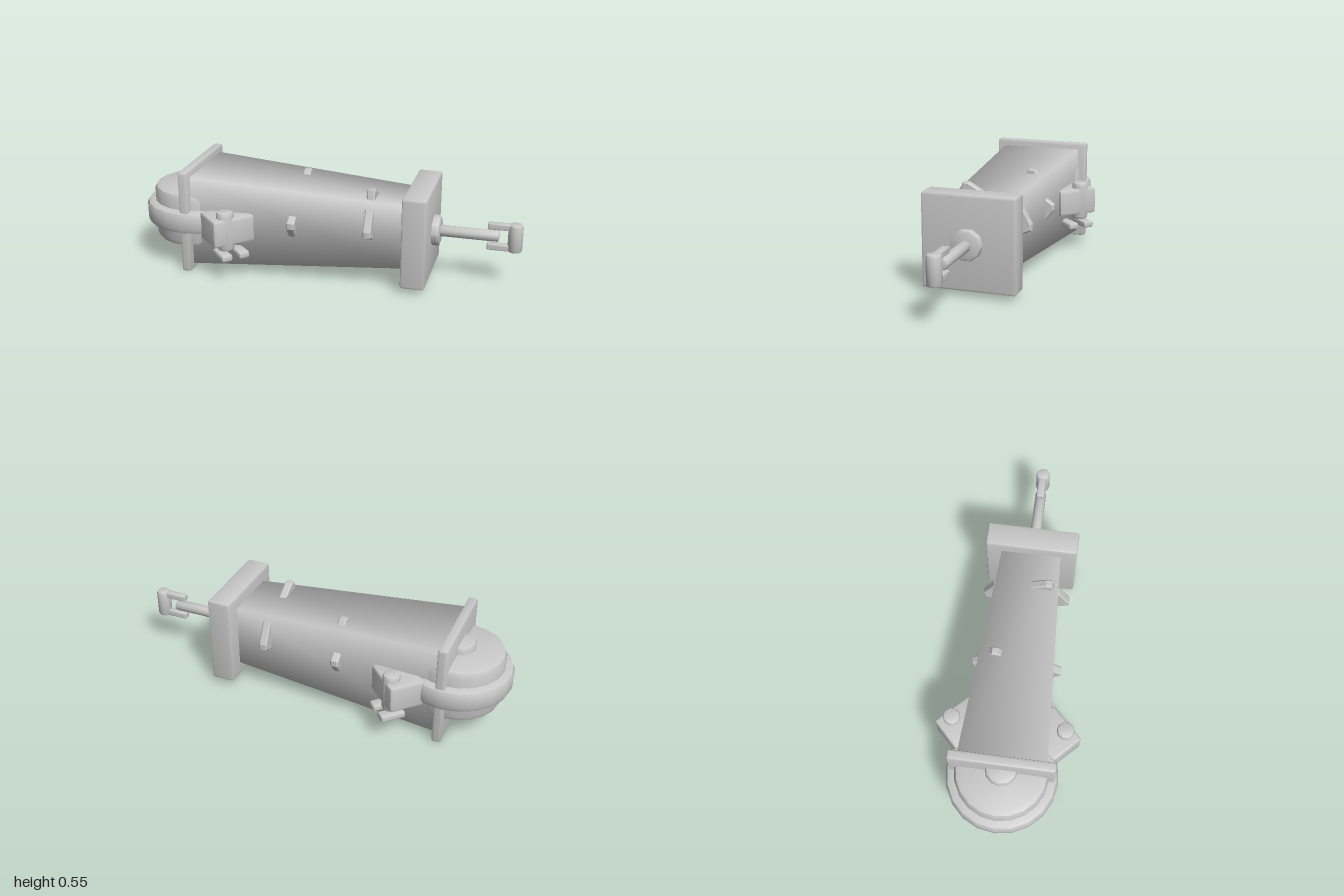
import * as THREE from 'three';
import { RoundedBoxGeometry } from 'three/addons/geometries/RoundedBoxGeometry.js';
import { toCreasedNormals } from 'three/addons/utils/BufferGeometryUtils.js';

const V = (x, y, z) => new THREE.Vector3(x, y, z);

export function createModel() {
  const model = new THREE.Group();
  model.name = 'clampedShaftHousing';
  const grey = new THREE.MeshStandardMaterial({ color: 0xc8c8c8 });
  grey.name = 'plain grey';

  const add = (name, geometry, x, y, z, parent = model) => {
    const mesh = new THREE.Mesh(geometry, grey);
    mesh.name = name;
    mesh.position.set(x, y, z);
    parent.add(mesh);
    return mesh;
  };
  // box with narrow chamfers
  const block = (w, h, d, bevel) =>
    toCreasedNormals(new RoundedBoxGeometry(w, h, d, 1, bevel).toNonIndexed(), 0.4);
  // upright disc with chamfered rims, centred on its own middle
  const disc = (radius, height, bevel, sides) => {
    const h = height / 2;
    const profile = [[0, -h], [radius - bevel, -h], [radius - bevel * 0.3, -h + bevel * 0.3], [radius, -h + bevel],
      [radius, h - bevel], [radius - bevel * 0.3, h - bevel * 0.3], [radius - bevel, h], [0, h]]
      .map(([r, y]) => new THREE.Vector2(r, y));
    return toCreasedNormals(new THREE.LatheGeometry(profile, sides).toNonIndexed(), 0.7);
  };

  // tapered four-sided body, softly shaded around its corners
  const bodyGeo = new THREE.CylinderGeometry(0.1675 * Math.SQRT2, 0.24 * Math.SQRT2, 1.14, 4, 1);
  bodyGeo.rotateY(Math.PI / 4).rotateZ(-Math.PI / 2).scale(1, 1, 0.915);
  add('body', bodyGeo, -0.13, 0.271, 0);

  // end plates
  add('rearPlate', block(0.05, 0.545, 0.526, 0.011), -0.705, 0.2725, 0);
  add('frontPlate', block(0.124, 0.476, 0.476, 0.011), 0.488, 0.267, 0);

  // rear drum with a wide band and a hub
  add('drum', disc(0.235, 0.295, 0.035, 20), -0.72, 0.268, 0);
  add('drumBand', disc(0.281, 0.12, 0.03, 20), -0.719, 0.27, 0);
  add('drumHub', disc(0.082, 0.375, 0.02, 12), -0.72, 0.268, 0);

  // a clamp on each side, turned outwards
  for (const side of [1, -1]) {
    const clamp = new THREE.Group();
    clamp.name = side > 0 ? 'leftClamp' : 'rightClamp';
    clamp.position.set(-0.482, 0, side * 0.228);
    clamp.rotation.y = -side * Math.PI / 4;
    model.add(clamp);
    add('clampBlock', block(0.18, 0.142, 0.225, 0.012), 0, 0.266, 0, clamp);
    for (const offset of [-0.055, 0.04]) {
      add('clampTooth', block(0.13, 0.036, 0.06, 0.012), 0.053, 0.138, side * -offset, clamp);
    }
    add('clampBolt', disc(0.044, 0.205, 0.012, 10), -0.47, 0.267, side * 0.287);
  }

  // ramped fins on the top and both sides of the body
  const fin = (name, length, peak, height, position, along, out) => {
    const shape = new THREE.Shape();
    shape.moveTo(0, -0.03);
    shape.lineTo(length, -0.03);
    shape.lineTo(length, 0);
    shape.lineTo(peak + 0.015, height);
    shape.lineTo(peak - 0.01, height);
    shape.lineTo(0, 0);
    const geometry = new THREE.ExtrudeGeometry(shape, {
      depth: 0.028, bevelEnabled: true, bevelSize: 0.006, bevelThickness: 0.007, bevelSegments: 1
    });
    geometry.translate(0, 0, -0.014);
    const width = along.clone().cross(out);
    geometry.applyMatrix4(new THREE.Matrix4().makeBasis(along, out, width));
    add(name, geometry, ...position);
  };
  for (const side of [1, -1]) {
    const out = V(0, 0, side);
    fin('sideFinLong', 0.15, 0.035, 0.053, [0.25, 0.255, side * 0.168], V(0, 1, 0), out);
    fin('sideFinShort', 0.1, 0.06, 0.037, [-0.145, 0.235, side * 0.187], V(0, 1, 0), out);
  }
  fin('topFinLong', 0.115, 0.09, 0.045, [0.25, 0.446, 0.022], V(0, 0, 1), V(0, 1, 0));
  fin('topFinShort', 0.055, 0.025, 0.02, [-0.145, 0.471, -0.135], V(0, 0, 1), V(0, 1, 0));

  // output shaft
  add('shaftCollar', disc(0.078, 0.08, 0.012, 10).rotateZ(Math.PI / 2), 0.548, 0.267, 0);
  add('shaft', disc(0.029, 0.34, 0.008, 12).rotateZ(Math.PI / 2), 0.712, 0.267, 0);

  // fork at the shaft tip: rounded upright with two prongs
  add('forkUpright', disc(0.037, 0.148, 0.012, 12), 0.963, 0.266, 0);
  for (const dy of [0.055, -0.055]) {
    add('forkProng', block(0.125, 0.034, 0.04, 0.008), 0.886, 0.266 + dy, 0);
  }
  return model;
}
